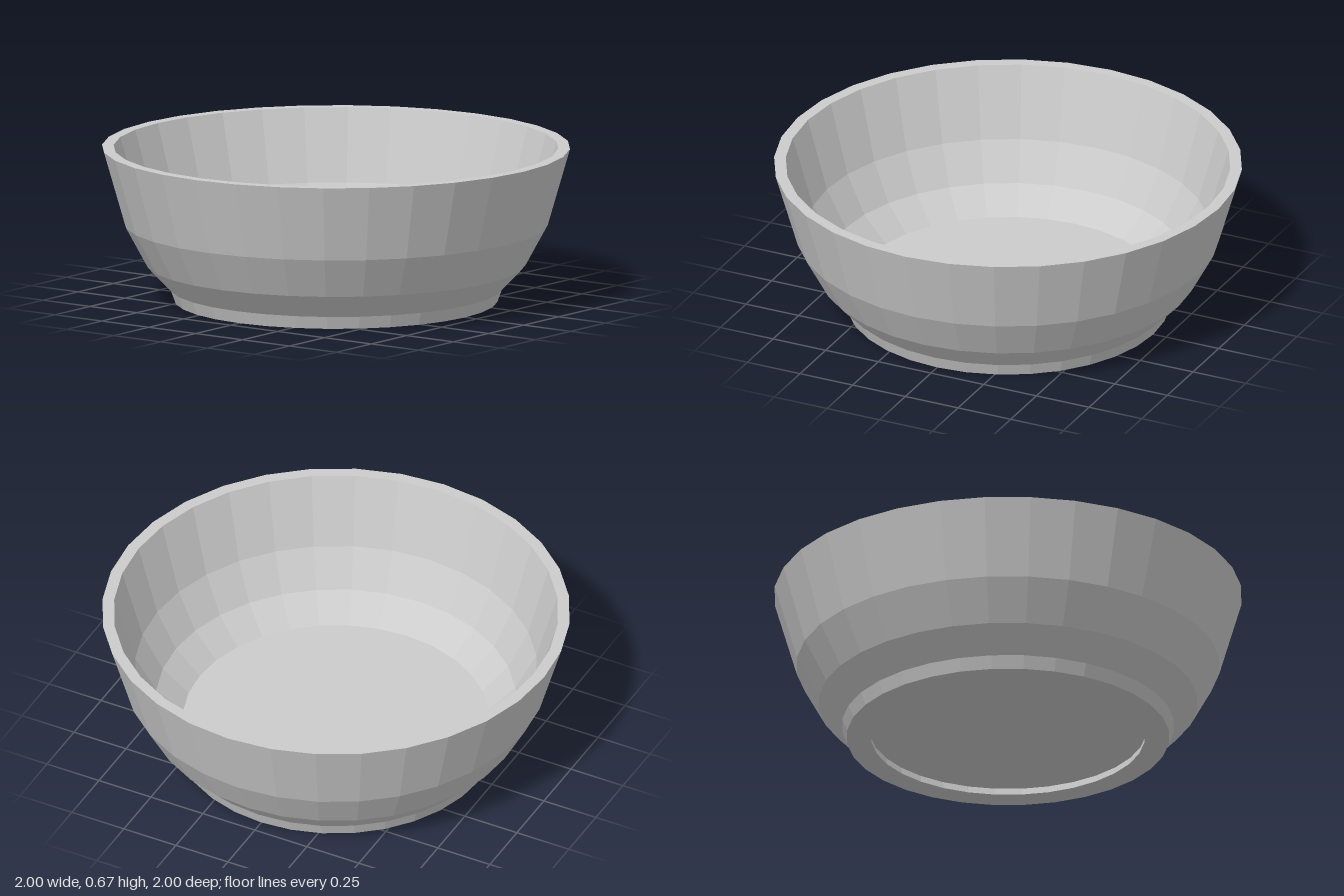
import * as THREE from 'three';

const SIDES = 32;

// Faceted solid of revolution from [radius, height] pairs
function turned(name, profile, material) {
  const points = profile.map(([r, y]) => new THREE.Vector2(r, y));
  const mesh = new THREE.Mesh(new THREE.LatheGeometry(points, SIDES), material);
  mesh.name = name;
  return mesh;
}

export function createModel() {
  const group = new THREE.Group();
  group.name = 'bowl';
  const clay = new THREE.MeshStandardMaterial({ color: 0xcccccc, flatShading: true });

  // Bowl body: flared outside wall, flat rim, inside wall and floor
  group.add(turned('bowlBody', [
    [0.71, 0.055], [0.81, 0.16], [0.905, 0.335], [1, 0.665],
    [0.95, 0.665], [0.86, 0.355], [0.77, 0.19], [0.655, 0.085], [0, 0.085],
  ], clay));

  // Foot ring with a shallow recess underneath
  group.add(turned('footRing', [
    [0, 0.03], [0.59, 0.03], [0.585, 0], [0.69, 0], [0.71, 0.055],
  ], clay));

  return group;
}
